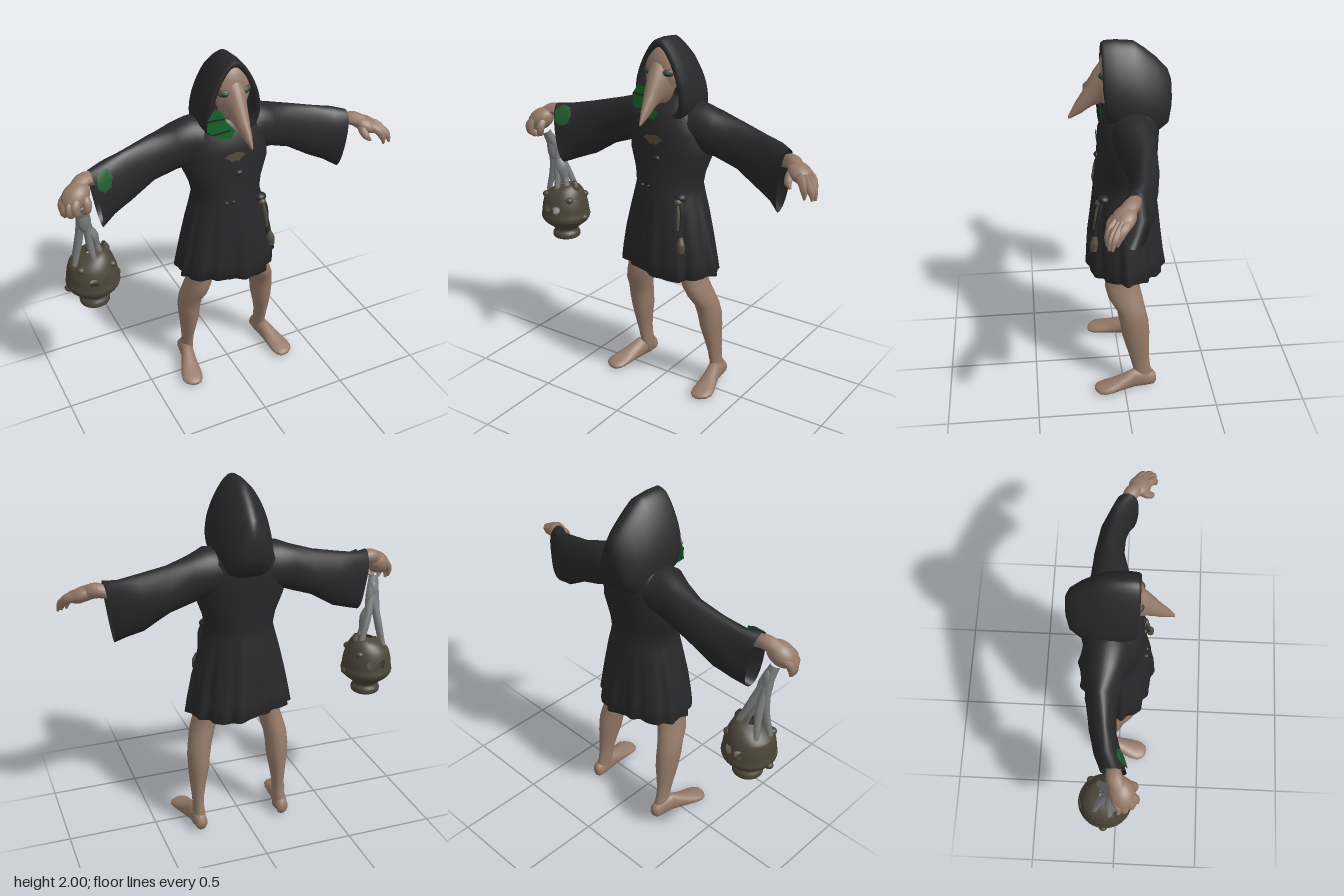
import * as THREE from 'three';

const mat = (name, color, side = THREE.FrontSide) => {
  const m = new THREE.MeshStandardMaterial({ color, side });
  m.name = name;
  return m;
};

// Skin of rings around one axis. Each section: [x, y, z, radiusU, radiusV, lean]
// (u, v) = (z, x) for axis y, (y, z) for axis x, (x, y) for axis z.
function loft(axis, sections, { n = 28, caps = [true, true], warp } = {}) {
  const ai = 'xyz'.indexOf(axis), ui = (ai + 1) % 3, vi = (ai + 2) % 3;
  const secs = sections.at(-1)[ai] < sections[0][ai] ? [...sections].reverse() : sections;
  const ends = secs === sections ? caps : [caps[1], caps[0]];
  const pos = [], idx = [];
  for (const s of secs) {
    for (let j = 0; j < n; j++) {
      const t = (j / n) * Math.PI * 2, p = [s[0], s[1], s[2]];
      p[ui] += s[3] * Math.cos(t);
      p[vi] += s[4] * Math.sin(t);
      p[ai] += (s[5] || 0) * Math.cos(t);
      if (warp) warp(p, t);
      pos.push(...p);
    }
  }
  for (let i = 0; i < secs.length - 1; i++) {
    for (let j = 0; j < n; j++) {
      const a = i * n + j, b = i * n + (j + 1) % n;
      idx.push(a, b, b + n, a, b + n, a + n);
    }
  }
  ends.forEach((cap, e) => {
    if (!cap) return;
    const s = e ? secs.at(-1) : secs[0], o = e ? (secs.length - 1) * n : 0, c = pos.length / 3;
    pos.push(s[0], s[1], s[2]);
    for (let j = 0; j < n; j++) {
      const a = o + j, b = o + (j + 1) % n;
      idx.push(...(e ? [c, a, b] : [c, b, a]));
    }
  });
  const g = new THREE.BufferGeometry();
  g.setAttribute('position', new THREE.Float32BufferAttribute(pos, 3));
  g.setIndex(idx);
  g.computeVertexNormals();
  return g;
}

// Tube whose radius follows a list of radii
function taper(points, radii, seg = 14, sides = 10) {
  const curve = new THREE.CatmullRomCurve3(points.map(p => new THREE.Vector3(...p)));
  const g = new THREE.TubeGeometry(curve, seg, 1, sides), p = g.attributes.position;
  const v = new THREE.Vector3();
  for (let i = 0; i < p.count; i++) {
    const u = Math.floor(i / (sides + 1)) / seg, k = u * (radii.length - 1);
    const lo = Math.min(Math.floor(k), radii.length - 2), c = curve.getPointAt(u);
    v.fromBufferAttribute(p, i).sub(c).multiplyScalar(THREE.MathUtils.lerp(radii[lo], radii[lo + 1], k - lo)).add(c);
    p.setXYZ(i, v.x, v.y, v.z);
  }
  g.computeVertexNormals();
  return g;
}

export function createModel() {
  const cloth = mat('blackCloth', 0x28282a, THREE.DoubleSide);
  const skin = mat('skin', 0x957a69);
  const bronze = mat('darkBronze', 0x4b4538, THREE.DoubleSide);
  const strap = mat('greyStrap', 0x7b7c7d);
  const green = mat('greenLining', 0x146428, THREE.DoubleSide);
  const patchGreen = mat('greenPatch', 0x1f5a2a, THREE.DoubleSide);
  const glass = mat('darkGreenGlass', 0x1b4a33);
  const trim = mat('brownTrim', 0x544b3e, THREE.DoubleSide);
  const socket = mat('greySocket', 0x4d4842);

  const root = new THREE.Group();
  const add = (name, geo, m, parent = root) => {
    const mesh = new THREE.Mesh(geo, m);
    mesh.name = name;
    parent.add(mesh);
    return mesh;
  };
  const ball = (name, m, p, s) => {
    const b = add(name, new THREE.SphereGeometry(1, 18, 12), m);
    b.position.set(...p);
    b.scale.set(...s);
    return b;
  };
  const plate = (name, m, pts, z) => {
    const g = new THREE.ShapeGeometry(new THREE.Shape(pts.map(q => new THREE.Vector2(...q))));
    add(name, g, m).position.z = z;
  };

  // Robe: pleats grow toward the hem, which is closed by a dark underside
  add('robe', loft('y', [
    [0, 0.76, -0.03, 0.19, 0.27], [0, 0.71, -0.03, 0.212, 0.29], [0, 0.8, -0.025, 0.205, 0.278], [0, 0.92, -0.022, 0.197, 0.257],
    [0, 1.05, -0.024, 0.185, 0.228], [0, 1.15, -0.024, 0.173, 0.202], [0, 1.2, -0.024, 0.168, 0.19],
    [0, 1.27, -0.03, 0.163, 0.203], [0, 1.38, -0.04, 0.163, 0.245], [0, 1.5, -0.045, 0.163, 0.24],
    [0, 1.59, -0.06, 0.15, 0.21], [0, 1.65, -0.07, 0.12, 0.16], [0, 1.69, -0.07, 0.07, 0.1],
  ], {
    n: 120, warp: (p, t) => {
      const k = Math.max(0, 1.18 - p[1]) / 0.47;
      const f = 1 + k * (0.035 * Math.sin(13 * t + 0.6) + 0.035 * Math.sin(5 * t) + 0.018 * Math.sin(22 * t));
      p[0] *= f;
      p[2] = (p[2] + 0.02) * f - 0.02;
      p[1] -= k * k * (0.01 * Math.sin(3 * t) + 0.05 * p[0]);
    },
  }), cloth);

  // Hood: rings from the back to the rim, then into the dark inside; pointed above, boxy below
  const hoodRing = (z, top, bottom, rx) => [0, (top + bottom) / 2, z, rx, (top - bottom) / 2];
  add('hood', loft('z', [
    hoodRing(-0.268, 1.78, 1.63, 0.045), hoodRing(-0.25, 1.835, 1.55, 0.087), hoodRing(-0.19, 1.9, 1.51, 0.122),
    hoodRing(-0.13, 1.95, 1.5, 0.14), hoodRing(-0.07, 1.992, 1.51, 0.152), hoodRing(0.02, 2.0, 1.54, 0.151),
    hoodRing(0.08, 1.998, 1.56, 0.142), hoodRing(0.095, 1.985, 1.575, 0.132), hoodRing(0.09, 1.96, 1.595, 0.113),
    hoodRing(0.05, 1.95, 1.605, 0.107), hoodRing(-0.02, 1.93, 1.62, 0.1),
  ], {
    n: 48, warp: (p, t) => {
      const s = Math.sin(t), c = Math.abs(Math.cos(t));
      p[0] *= (1 - 0.37 * s) * (s < 0 ? Math.max(c, 0.01) ** -0.35 : 1);
      p[2] -= 0.02 * Math.max(0, -s) * (p[2] > 0 ? 1 : 0);
    },
  }), cloth);
  plate('hoodLining', green, [[-0.16, 1.64], [-0.155, 1.7], [-0.125, 1.745], [-0.08, 1.74], [-0.05, 1.67], [0, 1.61], [-0.02, 1.57], [-0.07, 1.575], [-0.12, 1.6]], 0.096);
  plate('liningFoldUpper', cloth, [[-0.158, 1.69], [-0.06, 1.685], [-0.055, 1.695], [-0.155, 1.702]], 0.099);
  plate('liningFoldLower', cloth, [[-0.12, 1.605], [-0.03, 1.612], [-0.03, 1.622], [-0.135, 1.618]], 0.099);

  // Mask with long bent beak
  ball('mask', skin, [0, 1.825, 0.05], [0.1, 0.135, 0.06]);
  add('beak', loft('z', [
    [0, 1.785, 0.06, 0.088, 0.13], [0, 1.775, 0.1, 0.06, 0.112], [0, 1.745, 0.135, 0.046, 0.095],
    [0.002, 1.71, 0.165, 0.038, 0.075], [0.004, 1.67, 0.195, 0.03, 0.056], [0.008, 1.63, 0.235, 0.018, 0.035],
    [0.01, 1.59, 0.268, 0.005, 0.01],
  ], { n: 24 }), skin);
  for (const s of [-1, 1]) {
    ball('eyeSocket', socket, [s * 0.065, 1.83, 0.092], [0.032, 0.02, 0.014]).rotation.y = s * 0.5;
    ball('eye', glass, [s * 0.064, 1.828, 0.1], [0.022, 0.012, 0.01]).rotation.y = s * 0.5;
  }

  for (const s of [-1, 1]) {
    const e = s < 0 ? 0.035 : 0; // right cuff reaches a little further
    // Wide hanging sleeve
    add('sleeve', loft('x', [
      [0.1, 1.53, -0.06, 0.13, 0.12, 0], [0.2, 1.525, -0.06, 0.13, 0.113, 0], [0.28, 1.502, -0.065, 0.126, 0.098, 0],
      [0.4, 1.457, -0.08, 0.13, 0.076, 0], [0.55, 1.4, -0.065, 0.152, 0.066, 0.01],
      [0.64 + e / 2, 1.37, -0.035, 0.163, 0.068, 0.02], [0.705 + e, 1.35, -0.003, 0.17, 0.07, 0.022],
    ].map(([x, ...r]) => [x * s, r[0], r[1], r[2], r[3], r[4] * s]), {
      n: 40, caps: [false, false], warp: (p, t) => {
        const k = Math.abs(p[0]);
        p[1] += 0.006 * Math.sin(k * 34 + 2 * t);
        p[2] += 0.005 * Math.sin(k * 26 + 3 * t);
      },
    }), cloth);

    // Bare leg with bulging calf and slim ankle; the right one stands narrower
    const lx = (x, y) => s * x * (s > 0 ? 1 : THREE.MathUtils.lerp(0.81, 1, Math.min(1, (y / 0.7) ** 2)));
    add('leg', loft('y', [
      [0.275, 0.03, -0.115, 0.052, 0.036], [0.272, 0.08, -0.112, 0.055, 0.036], [0.269, 0.13, -0.1, 0.05, 0.031],
      [0.268, 0.2, -0.088, 0.055, 0.034], [0.263, 0.28, -0.076, 0.066, 0.045], [0.255, 0.36, -0.066, 0.078, 0.057],
      [0.25, 0.44, -0.057, 0.081, 0.063], [0.237, 0.51, -0.042, 0.08, 0.066], [0.213, 0.58, -0.012, 0.095, 0.067],
      [0.19, 0.64, 0.003, 0.096, 0.067], [0.17, 0.71, 0.003, 0.098, 0.068], [0.15, 0.86, 0, 0.105, 0.08],
    ].map(([x, y, ...r]) => [lx(x, y), y, ...r]), { n: 24 }), skin);
    add('foot', loft('z', [
      [0.27, 0.045, -0.183, 0.02, 0.025], [0.272, 0.05, -0.168, 0.035, 0.044], [0.274, 0.058, -0.12, 0.039, 0.057],
      [0.28, 0.062, -0.06, 0.04, 0.061], [0.293, 0.048, 0, 0.047, 0.048], [0.307, 0.034, 0.07, 0.06, 0.033],
      [0.312, 0.028, 0.115, 0.062, 0.026], [0.31, 0.024, 0.145, 0.052, 0.021], [0.305, 0.022, 0.165, 0.032, 0.014],
      [0.3, 0.02, 0.172, 0.012, 0.006],
    ].map(([x, y, z, ...r]) => [s > 0 ? x : -x + 0.05 - 0.07 * (z + 0.18), y, z, ...r]), { n: 28 }), skin);
  }

  // Arms and hands: one path per finger
  const hand = (name, arm, palm, fingers) => {
    const g = new THREE.Group();
    g.name = name;
    root.add(g);
    add('forearm', taper(arm, [0.012, 0.03, 0.041, 0.042]), skin, g);
    const p = add('palm', new THREE.SphereGeometry(1, 20, 14), skin, g);
    p.position.set(...palm.at);
    p.scale.set(...palm.size);
    p.rotation.set(...palm.turn);
    fingers.forEach(f => add('finger', taper(f, [0.025, 0.024, 0.02, 0.006], 12, 8), skin, g));
  };
  hand('leftHand', [[0.63, 1.42, -0.03], [0.695, 1.45, -0.005], [0.76, 1.465, 0.02], [0.81, 1.44, 0.06]],
    { at: [0.825, 1.435, 0.065], size: [0.075, 0.04, 0.06], turn: [0.1, -0.5, -0.4] }, [
      [[0.84, 1.43, 0.1], [0.87, 1.41, 0.13], [0.89, 1.37, 0.145], [0.895, 1.335, 0.15]],
      [[0.86, 1.425, 0.09], [0.9, 1.4, 0.12], [0.925, 1.37, 0.138], [0.935, 1.335, 0.145]],
      [[0.86, 1.43, 0.07], [0.905, 1.405, 0.1], [0.932, 1.375, 0.12], [0.945, 1.335, 0.13]],
      [[0.86, 1.43, 0.045], [0.9, 1.415, 0.075], [0.92, 1.385, 0.095], [0.93, 1.35, 0.105]],
      [[0.79, 1.44, 0.07], [0.785, 1.415, 0.105], [0.795, 1.39, 0.13], [0.815, 1.37, 0.14]],
    ]);
  hand('rightHand', [[-0.65, 1.43, -0.03], [-0.72, 1.46, -0.005], [-0.79, 1.48, 0.005], [-0.85, 1.445, 0.03]],
    { at: [-0.855, 1.425, 0.045], size: [0.085, 0.06, 0.066], turn: [0.1, 0.4, 0.55] }, [
      [[-0.86, 1.43, 0.08], [-0.88, 1.4, 0.11], [-0.875, 1.36, 0.11], [-0.85, 1.33, 0.08]],
      [[-0.88, 1.42, 0.065], [-0.905, 1.395, 0.09], [-0.905, 1.355, 0.09], [-0.885, 1.32, 0.07]],
      [[-0.89, 1.42, 0.04], [-0.92, 1.39, 0.06], [-0.928, 1.355, 0.06], [-0.92, 1.32, 0.05]],
      [[-0.89, 1.42, 0.015], [-0.92, 1.395, 0.03], [-0.928, 1.37, 0.035], [-0.928, 1.335, 0.03]],
      [[-0.82, 1.43, 0.07], [-0.815, 1.395, 0.1], [-0.82, 1.36, 0.1], [-0.84, 1.335, 0.07]],
    ]);

  // Lantern: hollow domed pot with two round holes through front and back
  const profile = new THREE.SplineCurve([[0.001, 0.672], [0.072, 0.674], [0.082, 0.7], [0.07, 0.73], [0.095, 0.755], [0.13, 0.785], [0.146, 0.815],
    [0.141, 0.85], [0.134, 0.9], [0.115, 0.955], [0.08, 0.995], [0.03, 1.015]].map(p => new THREE.Vector2(...p)));
  const pot = new THREE.LatheGeometry(profile.getPoints(110), 150);
  const pp = pot.attributes.position, keep = [], ix = pot.index.array;
  for (let i = 0; i < ix.length; i += 3) {
    const tri = [ix[i], ix[i + 1], ix[i + 2]];
    const cx = tri.reduce((a, k) => a + pp.getX(k), 0) / 3, cy = tri.reduce((a, k) => a + pp.getY(k), 0) / 3;
    if (Math.hypot(Math.abs(cx) - 0.033, cy - 0.885) > 0.024) keep.push(...tri);
  }
  pot.setIndex(keep);
  for (let i = 0; i < pp.count; i++) pp.setY(i, pp.getY(i) + 0.25 * pp.getX(i) * Math.max(0, (pp.getY(i) - 0.94) / 0.07));
  pot.computeVertexNormals();
  add('lanternPot', pot, bronze).position.set(-0.78, 0, -0.05);
  for (const [a, y, r] of [[0.9, 0.94, 0.115], [-0.85, 0.95, 0.11], [1.6, 0.82, 0.135], [-1.6, 0.8, 0.135], [2.3, 0.94, 0.115]]) {
    ball('lanternKnob', bronze, [-0.78 + r * Math.sin(a), y, -0.05 + r * Math.cos(a)], [0.024, 0.02, 0.024]);
  }
  add('rimHorn', taper([[-0.72, 0.97, -0.05], [-0.7, 1.0, -0.05], [-0.705, 1.04, -0.05]], [0.03, 0.026, 0.01]), bronze);

  // Knotted straps from the fist to the pot
  [[-0.88, -0.02], [-0.855, -0.1], [-0.725, -0.02], [-0.71, -0.09], [-0.78, 0.02]].forEach(([x, z], i) =>
    add('lanternStrap', taper([[-0.835, 1.35, 0.03], [-0.83 + i * 0.008, 1.24, -0.01], [(x - 0.81) / 2, 1.1, (z - 0.03) / 2], [x, 0.96, z]],
      [0.026, 0.024, 0.02, 0.015]), strap));
  ball('strapKnot', strap, [-0.82, 1.25, 0], [0.032, 0.08, 0.03]);
  add('strapTie', taper([[-0.815, 1.2, -0.02], [-0.775, 1.13, -0.02], [-0.755, 1.04, -0.03]], [0.024, 0.034, 0.02]), strap);

  // Sewn patch that follows the right sleeve
  const patch = new THREE.RingGeometry(0, 0.054, 7, 5), q = patch.attributes.position;
  for (let i = 0; i < q.count; i++) {
    const x = q.getX(i) * 0.9 - 0.697, y = q.getY(i) * 1.1 + 1.468;
    const w = THREE.MathUtils.clamp((-x - 0.6575) / 0.0825, -0.2, 1);
    q.setXYZ(i, x, y, -0.035 + 0.032 * w + 0.07 * Math.sqrt(1 - ((y - 1.36) / 0.175) ** 2) + 0.009);
  }
  patch.computeVertexNormals();
  add('sleevePatch', patch, patchGreen);

  // Clasp, button, studs and belt tassel
  plate('clasp', trim, [[-0.068, 0.005], [-0.045, 0.022], [-0.015, 0.018], [0, 0.026], [0.03, 0.02], [0.056, 0.002], [0.03, -0.012], [0.015, -0.03], [-0.01, -0.022], [-0.025, -0.032], [-0.04, -0.012]]
    .map(([x, y]) => [x - 0.005, y + 1.472]), 0.124);
  ball('button', cloth, [0.01, 1.37, 0.125], [0.022, 0.016, 0.014]);
  for (const x of [-0.07, -0.03]) ball('beltStud', trim, [x, 1.212, 0.138], [0.008, 0.005, 0.01]);
  ball('beltKnot', cloth, [0.15, 1.168, 0.1], [0.034, 0.024, 0.032]);
  ball('beltRing', trim, [0.15, 1.15, 0.12], [0.022, 0.02, 0.026]);
  add('beltCord', taper([[0.155, 1.17, 0.11], [0.175, 1.1, 0.125], [0.172, 1.0, 0.145], [0.185, 0.92, 0.155]], [0.013, 0.01, 0.011]), cloth);
  add('cordBraid', taper([[0.15, 1.15, 0.125], [0.162, 1.09, 0.14], [0.168, 1.0, 0.152]], [0.008, 0.01, 0.008]), trim);
  add('tassel', taper([[0.183, 0.965, 0.15], [0.19, 0.92, 0.157], [0.195, 0.88, 0.16]], [0.012, 0.023, 0.019]), trim);
  return root;
}
